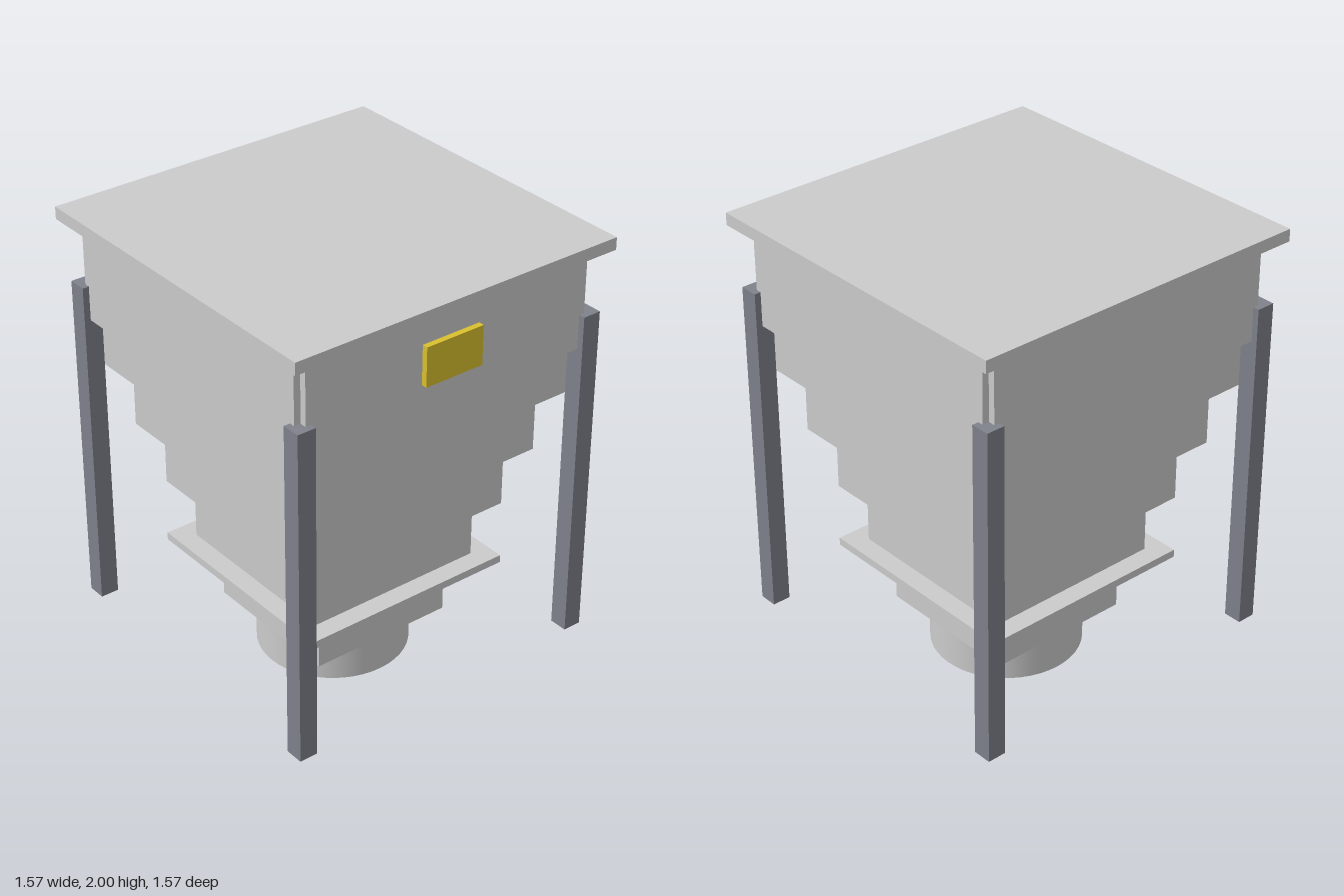
import * as THREE from 'three';

const grey = new THREE.MeshStandardMaterial({ color: 0xcccccc });
const steel = new THREE.MeshStandardMaterial({ color: 0x7f818c });
const yellow = new THREE.MeshStandardMaterial({ color: 0xd9c02e });

export function createModel() {
  const model = new THREE.Group();
  model.name = 'hopper';

  const add = (name, geometry, material, x, y, z) => {
    const mesh = new THREE.Mesh(geometry, material);
    mesh.name = name;
    mesh.position.set(x, y, z);
    model.add(mesh);
    return mesh;
  };
  // Square slab centred on the axis: half width and height range
  const slab = (name, half, y0, y1) =>
    add(name, new THREE.BoxGeometry(half * 2, y1 - y0, half * 2), grey, 0, (y0 + y1) / 2, 0);

  // Lid
  slab('lid', 0.787, 1.945, 2);

  // Four bin walls, leaving a small notch at each corner
  const wallBottom = 1.513, wallTop = 1.945;
  for (let i = 0; i < 4; i++) {
    const angle = (i * Math.PI) / 2;
    const wall = add('binWall', new THREE.BoxGeometry(1.39, wallTop - wallBottom, 0.03), grey,
      Math.sin(angle) * 0.71, (wallBottom + wallTop) / 2, Math.cos(angle) * 0.71);
    wall.rotation.y = angle;
  }

  // Stepped funnel narrowing downwards
  [
    [0.67, 1.287, 1.513],
    [0.587, 1.007, 1.287],
    [0.502, 0.73, 1.007],
    [0.417, 0.465, 0.73],
    [0.337, 0.17, 0.43],
  ].forEach(([half, y0, y1]) => slab('funnelStep', half, y0, y1));

  // Flange plate and round outlet
  slab('flange', 0.506, 0.43, 0.465);
  add('outlet', new THREE.CylinderGeometry(0.332, 0.332, 0.17, 48), grey, 0, 0.085, 0);

  // Corner legs
  for (const sx of [-1, 1]) {
    for (const sz of [-1, 1]) {
      add('leg', new THREE.BoxGeometry(0.084, 1.525, 0.084), steel, sx * 0.712, 0.9055, sz * 0.712);
    }
  }

  // Yellow plate on the front wall
  add('frontPlate', new THREE.BoxGeometry(0.28, 0.175, 0.027), yellow, 0, 1.73, 0.7375);

  return model;
}
